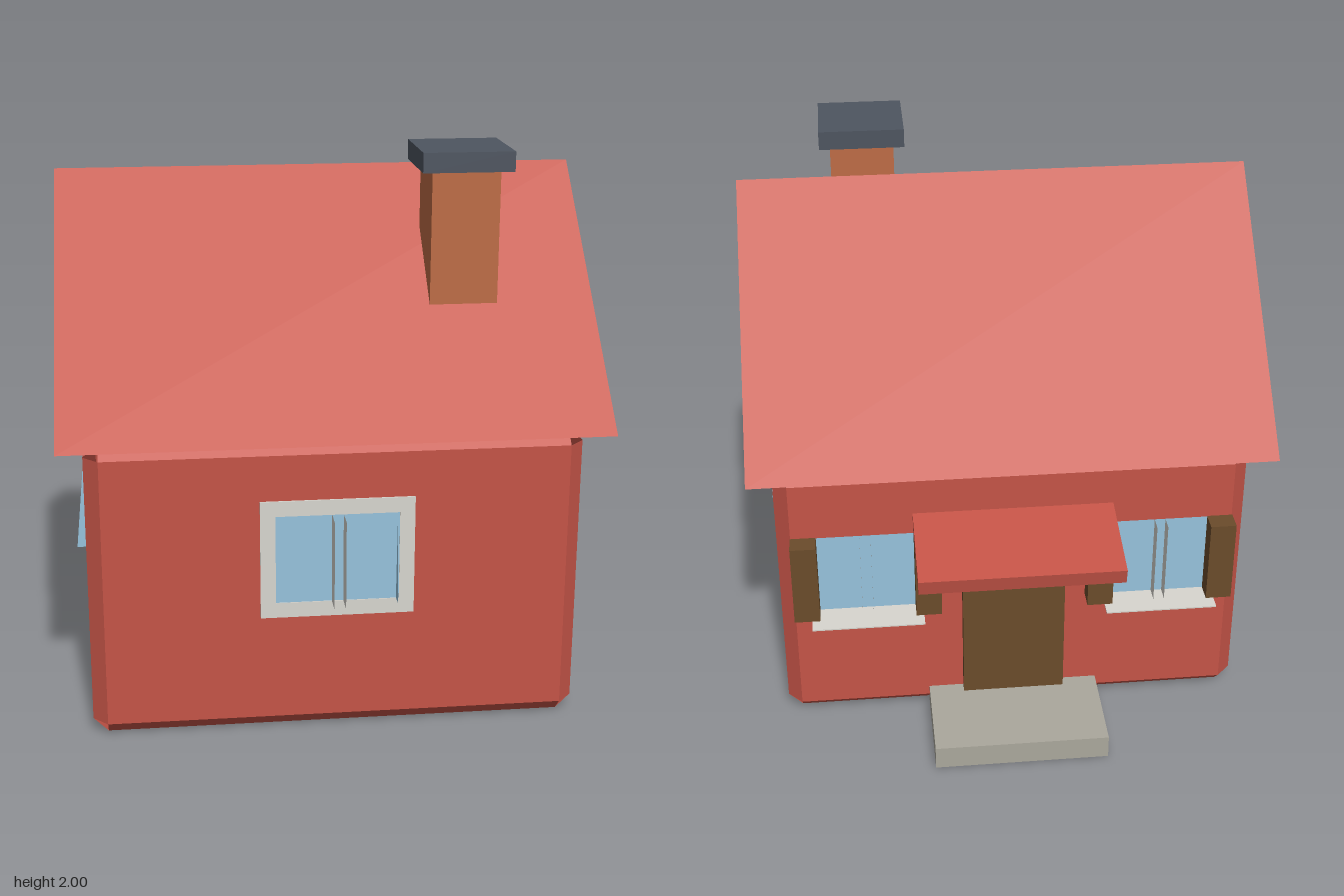
import * as THREE from 'three';

const mat = (name, color, side = THREE.FrontSide) => {
  const m = new THREE.MeshStandardMaterial({ color, side });
  m.name = name;
  return m;
};

// Box with chamfered edges and open corners, built from flat quads
function chamferedBox(half, bevel) {
  const pos = [];
  const quad = (a, b, c, d) => {
    const n = b.clone().sub(a).cross(c.clone().sub(a));
    const mid = a.clone().add(c);
    const order = n.dot(mid) > 0 ? [a, b, c, a, c, d] : [a, c, b, a, d, c];
    order.forEach((p) => pos.push(p.x, p.y, p.z));
  };
  const point = (i, u, j, v, k, w) => {
    const p = new THREE.Vector3();
    return p.setComponent(i, u).setComponent(j, v).setComponent(k, w);
  };
  for (let i = 0; i < 3; i++) {
    const j = (i + 1) % 3, k = (i + 2) % 3;
    const [hi, hj, hk] = [half[i], half[j], half[k]];
    const [ii, ij, ik] = [hi - bevel, hj - bevel, hk - bevel];
    for (const s of [-1, 1]) {
      // main face
      quad(point(i, s * hi, j, -ij, k, -ik), point(i, s * hi, j, ij, k, -ik),
        point(i, s * hi, j, ij, k, ik), point(i, s * hi, j, -ij, k, ik));
      // chamfers running along axis k
      for (const t of [-1, 1]) {
        quad(point(i, s * hi, j, t * ij, k, -ik), point(i, s * ii, j, t * hj, k, -ik),
          point(i, s * ii, j, t * hj, k, ik), point(i, s * hi, j, t * ij, k, ik));
      }
    }
  }
  const g = new THREE.BufferGeometry();
  g.setAttribute('position', new THREE.Float32BufferAttribute(pos, 3));
  g.computeVertexNormals();
  return g;
}

// Side profile given as [z, y] points, extruded symmetrically across x
function profileAcrossX(points, width) {
  const shape = new THREE.Shape(points.map(([z, y]) => new THREE.Vector2(-z, y)));
  const g = new THREE.ExtrudeGeometry(shape, { depth: width, bevelEnabled: false });
  return g.translate(0, 0, -width / 2).rotateY(Math.PI / 2);
}

export function createModel() {
  const house = new THREE.Group();
  house.name = 'house';

  const red = mat('brick red', 0xc55447, THREE.DoubleSide);
  const glass = mat('window glass', 0x96c2dc, THREE.DoubleSide);
  const pale = mat('pale trim', 0xd8d6cf, THREE.DoubleSide);
  const brown = mat('dark wood', 0x6b4c2b);
  const clay = mat('chimney clay', 0xbd6c45);
  const slate = mat('slate cap', 0x4e5560);
  const stone = mat('step stone', 0xaba89d);

  const add = (name, geometry, material, parent = house) => {
    const m = new THREE.Mesh(geometry, material);
    m.name = name;
    parent.add(m);
    return m;
  };
  // Box from its low and high limits on each axis
  const box = (name, x, y, z, material, parent) => {
    const m = add(name, new THREE.BoxGeometry(x[1] - x[0], y[1] - y[0], z[1] - z[0]), material, parent);
    m.position.set((x[0] + x[1]) / 2, (y[0] + y[1]) / 2, (z[0] + z[1]) / 2);
    return m;
  };

  // Walls and roof
  add('walls', chamferedBox([0.86, 0.54, 0.755], 0.052), red).position.set(0, 0.54, 0.135);
  add('roof', profileAcrossX([[0.97, 1.083], [0.135, 1.89], [-0.7, 1.083]], 1.89), red);

  // Chimney
  box('chimney', [0.36, 0.6], [1.4, 1.93], [0.34, 0.58], clay);
  box('chimneyCap', [0.32, 0.64], [1.93, 2], [0.3, 0.62], slate);

  // Framed window facing +z locally, centred on the pane
  const framedWindow = (name, paneWidth) => {
    const g = new THREE.Group();
    g.name = name;
    const rect = (Type, w, h) => new Type([[-w, -h], [w, -h], [w, h], [-w, h]].map((p) => new THREE.Vector2(...p)));
    const w = paneWidth / 2;
    const frame = rect(THREE.Shape, w + 0.053, 0.215);
    frame.holes.push(rect(THREE.Path, w, 0.16));
    add('windowFrame', new THREE.ExtrudeGeometry(frame, { depth: 0.006, bevelEnabled: false }), pale, g);
    add('pane', new THREE.PlaneGeometry(paneWidth, 0.32), glass, g).position.z = 0.003;
    house.add(g);
    return g;
  };
  // Thin upright fin standing out from a window, edge-on to it
  const fin = (parent, name, x, points, material) => {
    const shape = new THREE.Shape(points.map(([z, y]) => new THREE.Vector2(-z, y)));
    add(name, new THREE.ShapeGeometry(shape).rotateY(Math.PI / 2), material, parent).position.x = x;
  };
  const finRect = (d) => [[0.004, -0.16], [d, -0.16], [d, 0.16], [0.004, 0.16]];
  const finWedge = [[0.004, -0.16], [0.052, -0.16], [0.02, 0.16]];

  const front = framedWindow('frontWindow', 0.43);
  front.position.set(0, 0.65, 0.891);
  for (const x of [-0.02, 0.02]) fin(front, 'mullion', x, finRect(0.083), pale);
  fin(front, 'paneEdge', 0.205, finWedge, glass);

  const leftWindow = framedWindow('leftWindow', 0.385);
  leftWindow.position.set(0.861, 0.65, 0.138);
  leftWindow.rotation.y = Math.PI / 2;
  fin(leftWindow, 'paneEdge', 0, finRect(0.046), glass);

  const rightWindow = framedWindow('rightWindow', 0.385);
  rightWindow.position.set(-0.861, 0.65, 0.138);
  rightWindow.rotation.y = -Math.PI / 2;
  fin(rightWindow, 'paneEdge', 0.18, finWedge, glass);

  // Back windows with shutters and thin sills
  for (const s of [-1, 1]) {
    const g = new THREE.Group();
    g.name = s > 0 ? 'backLeftWindow' : 'backRightWindow';
    g.position.set(s * 0.54, 0.65, -0.622);
    g.rotation.y = Math.PI;
    add('pane', new THREE.PlaneGeometry(0.36, 0.32), glass, g).position.z = 0.003;
    for (const x of [-0.02, 0.02]) fin(g, 'mullion', x, finRect(0.06), pale);
    for (const t of [-1, 1]) {
      const c = t * 0.223;
      box('shutter', [c - 0.047, c + 0.047], [-0.16, 0.16], [0, 0.073], brown, g);
    }
    box('sill', [-0.205, 0.205], [-0.166, -0.161], [0, 0.123], pale, g);
    house.add(g);
  }

  // Entrance
  box('door', [-0.19, 0.19], [0.09, 0.7], [-0.66, -0.6], brown);
  box('doorStep', [-0.32, 0.32], [0, 0.09], [-0.975, -0.565], stone);
  add('awning', profileAcrossX([[-0.6, 0.895], [-0.6, 0.835], [-0.938, 0.766], [-0.95, 0.825]], 0.73), red);

  return house;
}
